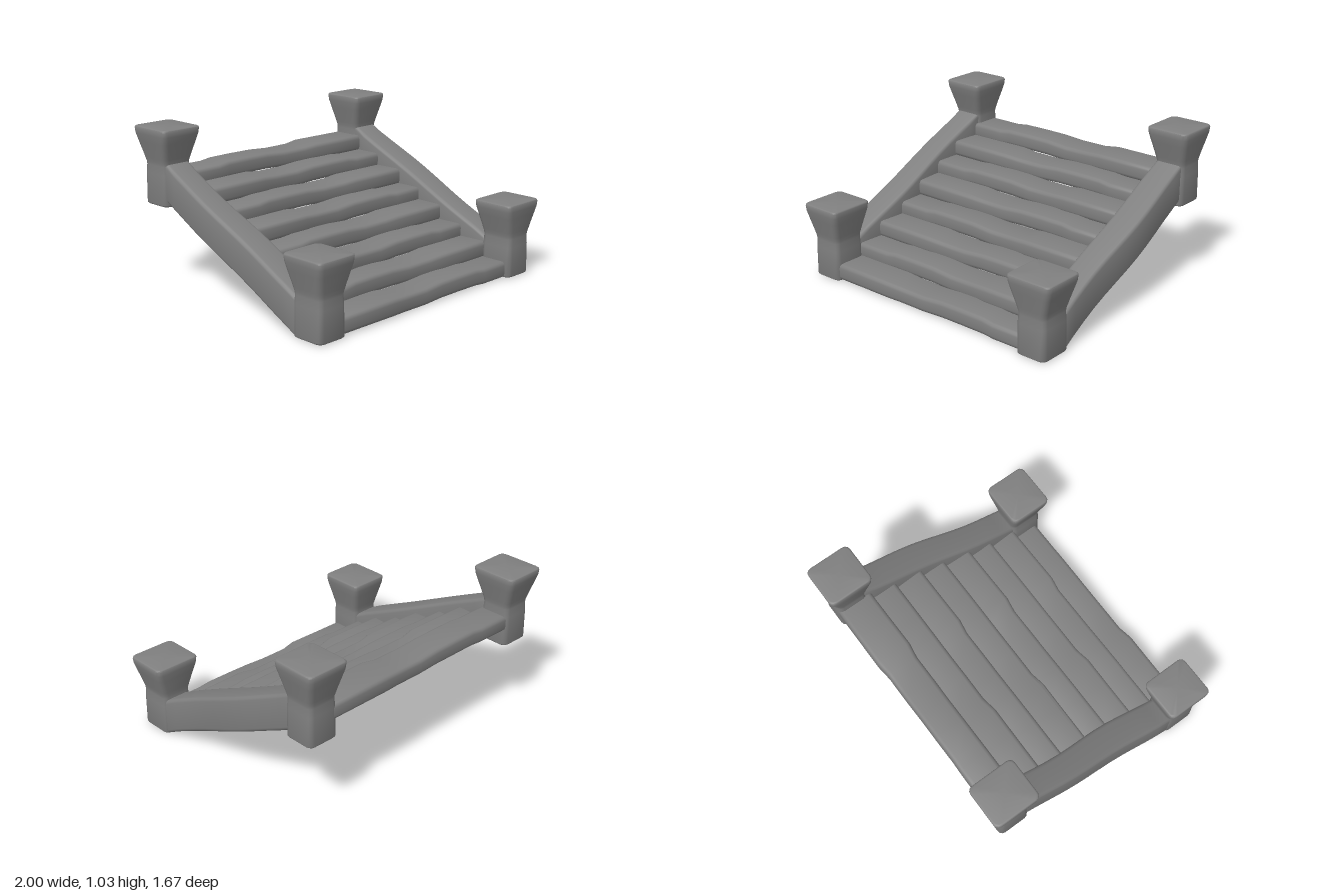
import * as THREE from 'three';
import { toCreasedNormals } from 'three/addons/utils/BufferGeometryUtils.js';

const material = new THREE.MeshStandardMaterial({ color: 0x808080 });

// Skin over rounded rectangles placed along an axis (0 = x, 1 = y, 2 = z).
// Each section is [t, cu, cv, hu, hv]; u and v are the next two axes in order.
function loft(name, axis, sections, radius, bevel) {
  const first = sections[0], last = sections[sections.length - 1];
  const ease = [[0, 1], [0.13, 0.5], [0.5, 0.13]];
  const start = ease.map(([t, i]) => [first[0] + t * bevel, first[1], first[2], first[3] - i * bevel, first[4] - i * bevel]);
  const end = ease.map(([t, i]) => [last[0] - t * bevel, last[1], last[2], last[3] - i * bevel, last[4] - i * bevel]).reverse();
  const inner = sections.map((s) => [...s]);
  inner[0][0] += bevel;
  inner[inner.length - 1][0] -= bevel;
  const rings = [...start, ...inner, ...end];

  const u = (axis + 1) % 3, v = (axis + 2) % 3, pos = [], index = [], n = 16;
  const put = (t, a, b) => {
    const p = [0, 0, 0];
    p[axis] = t; p[u] = a; p[v] = b;
    pos.push(...p);
  };
  for (const [t, cu, cv, hu, hv] of rings) {
    for (let c = 0; c < 4; c++) {
      const su = c === 0 || c === 3 ? 1 : -1, sv = c < 2 ? 1 : -1;
      for (let k = 0; k < 4; k++) {
        const a = (c + k / 3) * Math.PI / 2;
        put(t, cu + su * (hu - radius) + radius * Math.cos(a), cv + sv * (hv - radius) + radius * Math.sin(a));
      }
    }
  }
  for (let i = 0; i < rings.length - 1; i++) {
    for (let j = 0; j < n; j++) {
      const a = i * n + j, b = i * n + (j + 1) % n;
      index.push(a, b, b + n, a, b + n, a + n);
    }
  }
  // End caps
  const top = (rings.length - 1) * n, c0 = rings.length * n;
  put(...rings[0].slice(0, 3));
  put(...rings[rings.length - 1].slice(0, 3));
  for (let j = 0; j < n; j++) {
    const k = (j + 1) % n;
    index.push(c0, k, j, c0 + 1, top + j, top + k);
  }
  const geo = new THREE.BufferGeometry();
  geo.setAttribute('position', new THREE.Float32BufferAttribute(pos, 3));
  geo.setIndex(index);
  const mesh = new THREE.Mesh(toCreasedNormals(geo, 0.65), material);
  mesh.name = name;
  return mesh;
}

// Square post: straight shaft, slight neck, then a flared head
function post(name, x, y, z, shaftZ, capX, capZ) {
  const profile = [[0, 0], [0.2, -0.03], [0.255, -0.1], [0.275, -0.06], [0.3, 0.08],
    [0.33, 0.24], [0.4, 0.65], [0.45, 0.93], [0.495, 1]];
  return loft(name, 1, profile.map(([t, f]) =>
    [y + t, z, x, shaftZ + f * (capZ - shaftZ), 0.106 + f * (capX - 0.106)]), 0.034, 0.012);
}

// Sloping side beam with a slightly wavy outline
function rail(name, x, phase) {
  const sections = [];
  for (let i = 0; i <= 12; i++) {
    const z = -0.61 + (i / 12) * 1.19;
    const wave = 0.007 * Math.sin(z * 8 + phase);
    sections.push([z, x + wave, 0.406 - z * 0.478, 0.094 + 0.004 * Math.sin(z * 5 + phase), 0.123]);
  }
  return loft(name, 2, sections, 0.026, 0.01);
}

// Rough-cut plank: [x, front edge shift, height shift, back edge shift]
const cut = [[-0.8, -0.004, -0.006, 0], [-0.53, -0.004, -0.006, 0.002], [-0.45, -0.006, 0.005, 0.004],
  [-0.28, -0.007, 0.006, 0.002], [-0.12, -0.008, 0.004, 0.002], [0.03, -0.005, -0.007, 0],
  [0.22, -0.006, -0.006, 0], [0.32, 0.009, 0.005, -0.012], [0.52, 0.007, 0.004, -0.012], [0.8, 0.006, 0.003, -0.012]];
function tread(i) {
  const side = i % 2 ? 1 : -1;
  const stations = cut.map(([x, f, h, b]) => {
    const front = 0.763 - i * 0.1885 + f, back = 0.545 - i * 0.1885 + b;
    const bottom = 0.012 + i * 0.0912 + h * 0.6, top = 0.119 + i * 0.0908 + h;
    return [x * side, (top + bottom) / 2, (front + back) / 2, (top - bottom) / 2, (front - back) / 2];
  });
  if (side < 0) stations.reverse();
  return loft('tread' + (i + 1), 0, stations, 0.026, 0.008);
}

export function createModel() {
  const group = new THREE.Group();
  group.name = 'staircase';

  // Corner posts
  group.add(
    post('frontRightPost', -0.855, 0.008, 0.673, 0.115, 0.145, 0.156),
    post('frontLeftPost', 0.838, 0.008, 0.677, 0.115, 0.158, 0.146),
    post('backRightPost', -0.848, 0.54, -0.681, 0.106, 0.145, 0.158),
    post('backLeftPost', 0.833, 0.54, -0.683, 0.106, 0.145, 0.152));

  // Side beams
  group.add(rail('rightRail', -0.854, 0.4), rail('leftRail', 0.834, 2.6));

  // Steps
  const treads = new THREE.Group();
  treads.name = 'treads';
  for (let i = 0; i < 8; i++) treads.add(tread(i));
  group.add(treads);
  return group;
}
